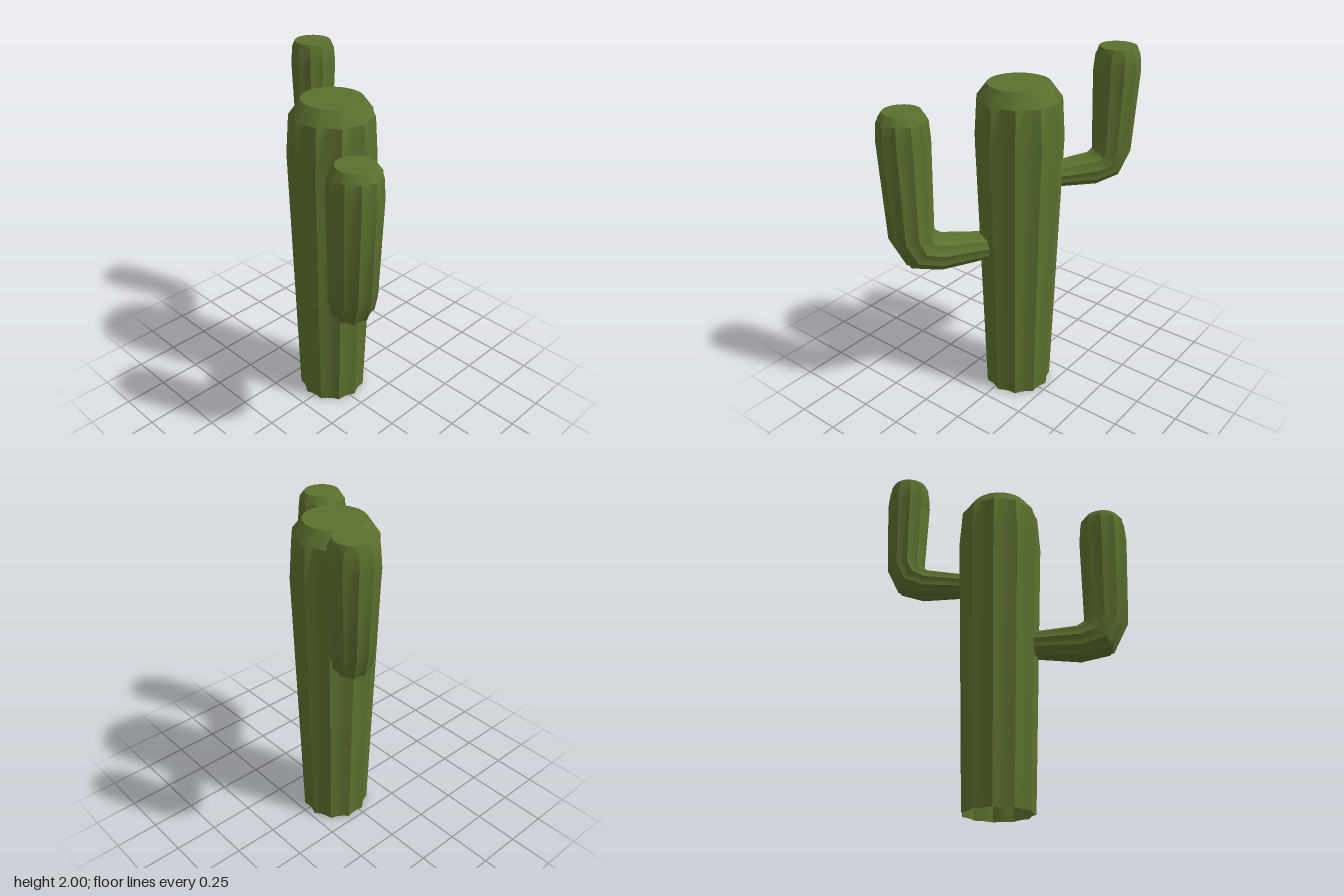
import * as THREE from 'three';
import { toCreasedNormals } from 'three/addons/utils/BufferGeometryUtils.js';

const RIBS = 11;
const SIDES = RIBS * 3; // each rib: one sharp ridge and two groove points

// Ribbed tube swept through rings [distance outward, height, ridge radius, groove depth].
// The path lies in the upright plane through `origin` along the horizontal direction `dir`.
function ribbedTube(origin, dir, rings) {
  const up = new THREE.Vector3(0, 1, 0);
  const side = new THREE.Vector3().crossVectors(up, dir);
  const pos = [], index = [];
  const at = (d, y) => origin.clone().addScaledVector(dir, d).addScaledVector(up, y);
  rings.forEach(([d, y, r, depth], i) => {
    const prev = rings[Math.max(i - 1, 0)], next = rings[Math.min(i + 1, rings.length - 1)];
    const t = new THREE.Vector2(next[0] - prev[0], next[1] - prev[1]).normalize();
    const out = dir.clone().multiplyScalar(t.y).addScaledVector(up, -t.x);
    for (let j = 0; j < SIDES; j++) {
      const a = (j / SIDES) * Math.PI * 2;
      const rad = r * (j % 3 === 0 ? 1 : 1 - depth);
      const p = at(d, y).addScaledVector(out, rad * Math.cos(a)).addScaledVector(side, rad * Math.sin(a));
      pos.push(p.x, p.y, p.z);
    }
  });
  for (let i = 0; i < rings.length - 1; i++) {
    for (let j = 0; j < SIDES; j++) {
      const a = i * SIDES + j, b = i * SIDES + (j + 1) % SIDES;
      index.push(a, b, b + SIDES, a, b + SIDES, a + SIDES);
    }
  }
  // flat cap on the tip
  const last = rings.length - 1, tip = rings[last];
  const c = at(tip[0], tip[1]);
  pos.push(c.x, c.y, c.z);
  for (let j = 0; j < SIDES; j++) {
    index.push(last * SIDES + j, last * SIDES + (j + 1) % SIDES, rings.length * SIDES);
  }
  const g = new THREE.BufferGeometry();
  g.setAttribute('position', new THREE.Float32BufferAttribute(pos, 3));
  g.setIndex(index);
  return toCreasedNormals(g, 0.5);
}

export function createModel() {
  const group = new THREE.Group();
  const green = new THREE.MeshStandardMaterial({ color: 0x5c702e, side: THREE.DoubleSide });
  green.name = 'cactusGreen';
  const origin = new THREE.Vector3(-0.03, 0, -0.03);

  const add = (name, dx, dz, rings) => {
    const dir = new THREE.Vector3(dx, 0, dz).normalize();
    const mesh = new THREE.Mesh(ribbedTube(origin, dir, rings), green);
    mesh.name = name;
    group.add(mesh);
  };

  // trunk, open underneath
  add('trunk', 1, 0, [
    [0, 0, 0.195, 0.08],
    [0, 1.56, 0.243, 0.08],
    [0, 1.78, 0.228, 0.05],
    [0, 1.86, 0.167, 0],
  ]);

  // lower arm, front left
  add('leftArm', 0.505, 0.35, [
    [0.1, 0.94, 0.075, 0.08],
    [0.2, 0.942, 0.08, 0.08],
    [0.45, 0.948, 0.105, 0.08],
    [0.56, 0.985, 0.125, 0.08],
    [0.605, 1.08, 0.125, 0.08],
    [0.614, 1.62, 0.141, 0.08],
    [0.614, 1.725, 0.133, 0.05],
    [0.614, 1.77, 0.1, 0],
  ]);

  // upper arm, back right
  add('rightArm', -0.46, -0.3, [
    [0.1, 1.32, 0.07, 0.08],
    [0.22, 1.32, 0.073, 0.08],
    [0.43, 1.325, 0.092, 0.08],
    [0.51, 1.355, 0.106, 0.08],
    [0.545, 1.43, 0.108, 0.08],
    [0.55, 1.87, 0.127, 0.08],
    [0.55, 1.96, 0.119, 0.05],
    [0.55, 2.0, 0.1, 0],
  ]);

  return group;
}
